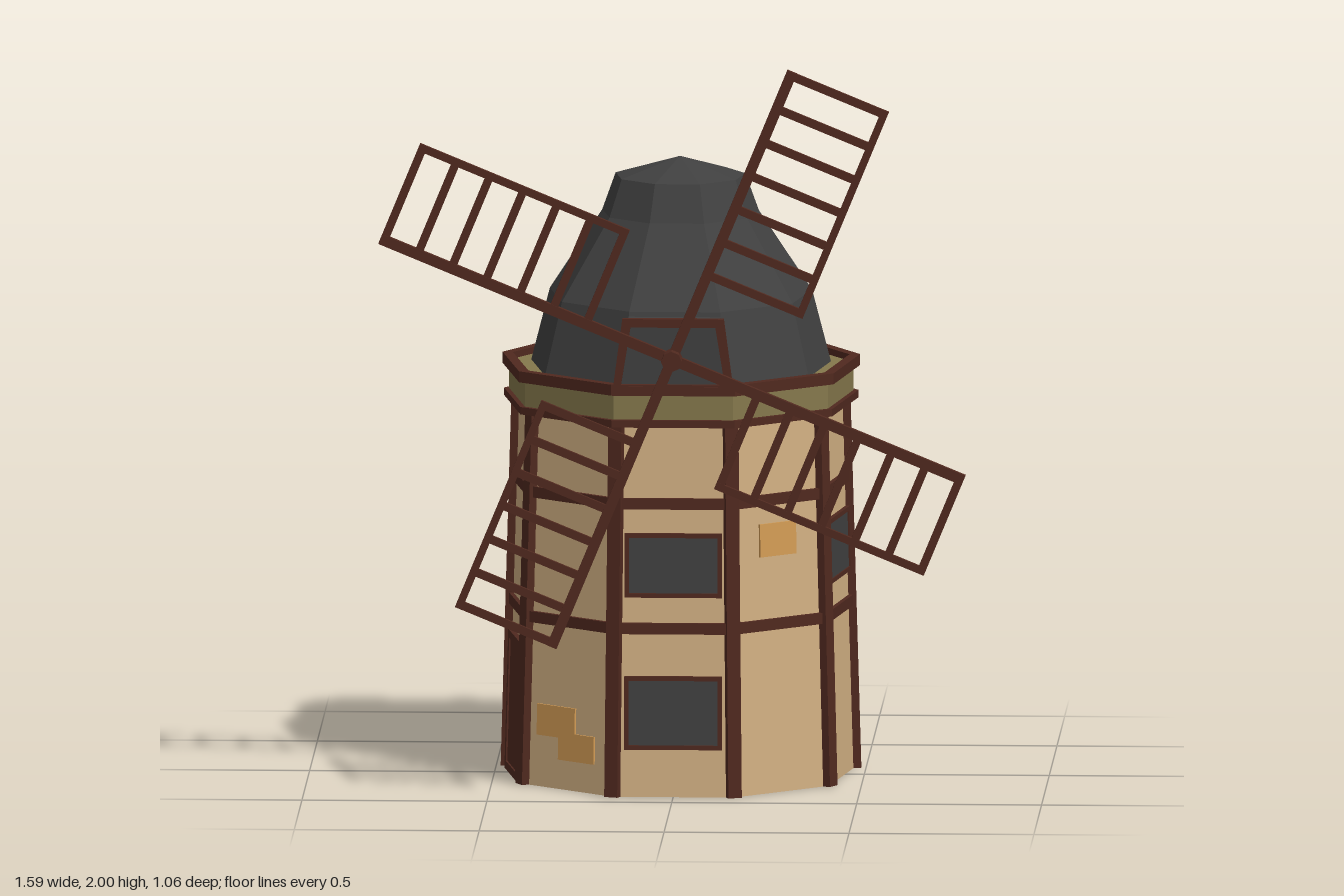
import * as THREE from 'three';

const SIDES = 9, CZ = -0.037;            // nine-sided tower, vertex at the back
const R0 = 0.477, R1 = 0.447, H = 1.03;  // wall corner radius at bottom and top
const APO = Math.cos(Math.PI / SIDES);
const TILT = Math.atan((R0 - R1) * APO / H);
const wallR = (y) => R0 + (R1 - R0) * y / H;

function paint(name, color, side = THREE.FrontSide) {
  const m = new THREE.MeshStandardMaterial({ color, flatShading: true, side });
  m.name = name;
  return m;
}

export function createModel() {
  const model = new THREE.Group();
  model.name = 'windmill';
  const plaster = paint('plaster', 0xd2b083, THREE.DoubleSide);
  const wood = paint('dark wood', 0x50291f);
  const slate = paint('slate', 0x404040, THREE.DoubleSide);
  const olive = paint('olive band', 0x85784c, THREE.DoubleSide);
  const brick = paint('bare brick', 0xd39c55);

  function add(parent, name, geometry, material, x = 0, y = 0, z = 0) {
    const mesh = new THREE.Mesh(geometry, material);
    mesh.name = name;
    mesh.position.set(x, y, z);
    parent.add(mesh);
    return mesh;
  }
  const box = (parent, name, mat, w, h, d, x, y, z) =>
    add(parent, name, new THREE.BoxGeometry(w, h, d), mat, x, y, z);

  // Nine-sided surface of revolution from [radius, y] pairs
  function nonagon(name, points, mat) {
    const profile = points.map(([r, y]) => new THREE.Vector2(r, y));
    return add(model, name, new THREE.LatheGeometry(profile, SIDES, Math.PI), mat, 0, 0, CZ);
  }
  const ring = (name, y, inner, outer, h) => nonagon(name, [
    [inner, y - h / 2], [outer, y - h / 2], [outer, y + h / 2], [inner, y + h / 2], [inner, y - h / 2],
  ], wood);

  // Tower, olive band and roof
  nonagon('towerWall', [[R0, 0], [R1, H]], plaster);
  nonagon('eavesBand', [[0.44, 1.015], [0.473, 1.02], [0.473, 1.112], [0.38, 1.112]], olive);
  nonagon('roof', [[0.412, 1.11], [0.36, 1.31], [0.215, 1.53], [0.178, 1.632], [0, 1.683]], slate);

  // Horizontal beams
  for (const y of [0.46, 0.8]) ring('wallBeam', y, wallR(y) - 0.012, wallR(y) + 0.012, 0.03);
  ring('lowerEavesBeam', 1.022, 0.45, 0.487, 0.02);
  ring('upperEavesBeam', 1.115, 0.462, 0.491, 0.03);

  // Corner posts leaning with the wall
  for (let i = 0; i < SIDES; i++) {
    const corner = new THREE.Group();
    corner.name = 'cornerPost';
    corner.position.z = CZ;
    corner.rotation.y = Math.PI + i * 2 * Math.PI / SIDES;
    model.add(corner);
    const post = box(corner, 'post', wood, 0.038, 1.02, 0.03, 0, 0.51, (R0 + wallR(1.02)) / 2);
    post.rotation.x = -Math.atan((R0 - R1) / H);
  }

  // A group lying on one wall face; its z axis points out of the wall
  function onWall(name, degrees, x, y) {
    const turn = new THREE.Group(), spot = new THREE.Group();
    turn.name = name;
    spot.name = name + 'Mount';
    turn.position.z = CZ;
    turn.rotation.y = THREE.MathUtils.degToRad(degrees);
    spot.position.set(x, y, wallR(y) * APO);
    spot.rotation.x = -TILT;
    turn.add(spot);
    model.add(turn);
    return spot;
  }
  function frame(parent, w, h, t, d) {
    for (const s of [-1, 1]) {
      box(parent, 'frameSide', wood, t, h, d, s * (w - t) / 2, 0, 0);
      box(parent, 'frameRail', wood, w - 2 * t, t, d, 0, s * (h - t) / 2, 0);
    }
  }

  // Windows: [face angle, centre y, height]
  for (const [a, y, h] of [[0, 0.632, 0.175], [0, 0.23, 0.2], [80, 0.632, 0.175], [160, 0.632, 0.175]]) {
    const w = onWall('window', a, 0, y);
    box(w, 'pane', slate, 0.25, h - 0.015, 0.006, 0, 0, 0.005);
    frame(w, 0.264, h, 0.012, 0.024);
  }

  // Door
  const door = onWall('door', -80, 0, 0.19);
  box(door, 'doorLeaf', wood, 0.2, 0.37, 0.009, 0, 0, 0.006);
  frame(door, 0.23, 0.38, 0.022, 0.03);

  // Bare brick patches: [face angle, x, y, width, height]
  for (const [a, x, y, w, h] of [
    [40, 0, 0.69, 0.123, 0.09], [120, 0, 0.182, 0.15, 0.105], [-160, 0, 0.125, 0.1, 0.09],
    [-40, -0.045, 0.183, 0.138, 0.085], [-40, 0.03, 0.118, 0.13, 0.075],
  ]) box(onWall('brickPatch', a, x, y), 'patch', brick, w, h, 0.0095, 0, 0, 0.001);

  // Dormer with its wooden front frame
  function trapezoid(Kind, bottom, top, y0, y1) {
    const s = new Kind();
    s.moveTo(-bottom, y0); s.lineTo(bottom, y0); s.lineTo(top, y1); s.lineTo(-top, y1); s.closePath();
    return s;
  }
  const extrude = (shape, depth) => new THREE.ExtrudeGeometry(shape, { depth, bevelEnabled: false });
  add(model, 'dormer', extrude(trapezoid(THREE.Shape, 0.15, 0.125, 1.11, 1.297), 0.21), slate, 0, 0, 0.2);
  const front = trapezoid(THREE.Shape, 0.165, 0.137, 1.1, 1.31);
  front.holes.push(trapezoid(THREE.Path, 0.141, 0.115, 1.125, 1.287));
  add(model, 'dormerFrame', extrude(front, 0.023), wood, 0, 0, 0.403);

  // Axle and hub
  const rotor = new THREE.Group();
  rotor.name = 'rotor';
  rotor.position.set(0, 1.21, 0.483);
  model.add(rotor);
  const axle = add(rotor, 'axle', new THREE.CylinderGeometry(0.02, 0.02, 0.13, 8), wood, 0, 0, -0.03);
  const hub = add(rotor, 'hub', new THREE.CylinderGeometry(0.028, 0.028, 0.065, 8), wood, 0, 0, 0.014);
  axle.rotation.x = hub.rotation.x = Math.PI / 2;

  // Four lattice sails
  const IN = 0.24, OUT = 0.853, W = 0.283, RUNGS = 7;
  for (let i = 0; i < 4; i++) {
    const sail = new THREE.Group();
    sail.name = 'sail';
    sail.rotation.z = THREE.MathUtils.degToRad(-22.4 + 90 * i);
    rotor.add(sail);
    box(sail, 'arm', wood, 0.028, OUT, 0.02, 0, OUT / 2, 0);
    box(sail, 'outerRail', wood, 0.02, OUT - IN, 0.016, W - 0.01, (IN + OUT) / 2, 0);
    for (let k = 0; k < RUNGS; k++) {
      const y = IN + 0.011 + (OUT - IN - 0.022) * k / (RUNGS - 1);
      box(sail, 'rung', wood, W - 0.005, 0.022, 0.014, W / 2, y, 0);
    }
  }
  return model;
}
